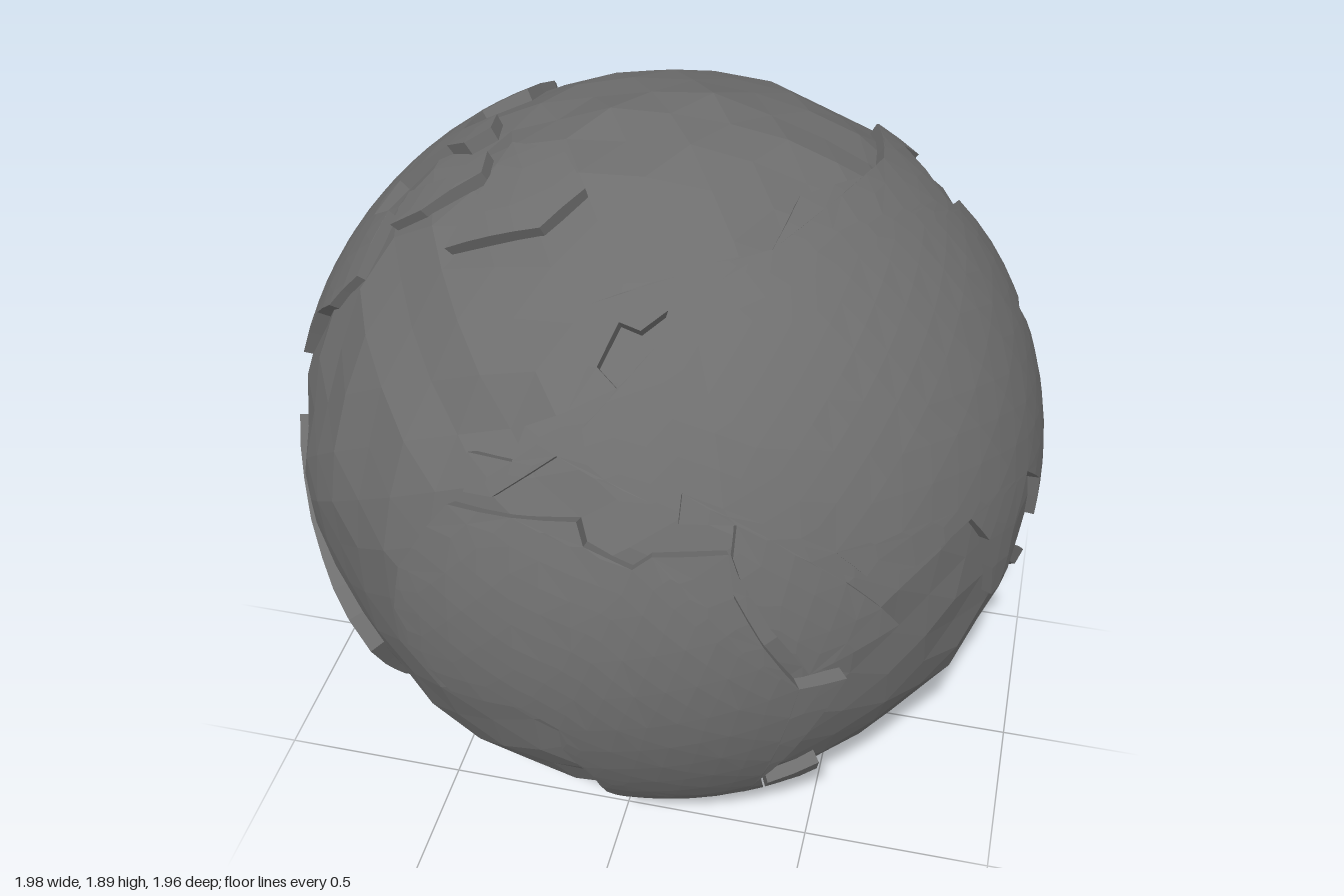
import * as THREE from 'three';

const CY = 0.963, LAND = 0.99, FLOOR = 0.93, POLAR = 0.978, MAX_EDGE = 0.12;
const { sin, cos, PI } = Math;
const mat = new THREE.MeshStandardMaterial({ color: 0x6e6e6e, flatShading: true });

// Unit directions of points marked on the globe as a flat disc facing (azimuth, elevation)
function disc(az, el, pts, v0 = 0, flip = 1) {
  az *= PI / 180; el *= PI / 180;
  const toward = new THREE.Vector3(sin(az) * cos(el), sin(el), cos(az) * cos(el));
  const right = new THREE.Vector3(cos(az), 0, -sin(az));
  const up = toward.clone().cross(right);
  return pts.map(([a, b]) => {
    let u = a / 0.98, v = flip * (b - v0) / 0.98;
    const len = Math.hypot(u, v);
    if (len > 0.999) { u *= 0.999 / len; v *= 0.999 / len; }
    const w = Math.sqrt(1 - u * u - v * v);
    return new THREE.Vector3().addScaledVector(right, u).addScaledVector(up, v).addScaledVector(toward, w);
  });
}
const front = (...p) => disc(0, 0, p, CY);                              // [x, y]
const side = (...p) => disc(90, 0, p.map(([z, y]) => [-z, y]), CY);     // [z, y]
const top = (...p) => disc(0, 90, p, 0, -1);                            // [x, z]
const backLeft = (...p) => disc(216, 25, p);
const backBelow = (...p) => disc(140, -30, p);

// Raised plate: fill the outline in a flat map, split long edges, wrap it on the sphere, add cliffs
function plate(name, outline, hole = []) {
  const c = outline.reduce((s, p) => s.add(p), new THREE.Vector3()).normalize();
  const e1 = new THREE.Vector3(0, 1, 0).cross(c).normalize(), e2 = c.clone().cross(e1);
  const flat = p => {
    const a = Math.acos(THREE.MathUtils.clamp(p.dot(c), -1, 1));
    return new THREE.Vector2(p.dot(e1), p.dot(e2)).setLength(a);
  };
  const wrap = (q, r) => {
    const a = q.length(), s = a > 1e-6 ? sin(a) / a : 1;
    const p = new THREE.Vector3().addScaledVector(c, cos(a)).addScaledVector(e1, q.x * s)
      .addScaledVector(e2, q.y * s).multiplyScalar(r);
    p.y *= POLAR;
    return p;
  };
  const mid = (a, b) => a.clone().add(b).multiplyScalar(0.5);
  const span = (a, b) => wrap(a, 1).distanceTo(wrap(b, 1));
  const rim = outline.map(flat), inner = hole.map(flat);
  if (THREE.ShapeUtils.isClockWise(rim)) rim.reverse();
  if (inner.length && !THREE.ShapeUtils.isClockWise(inner)) inner.reverse();
  const out = [];
  const tri = (...v) => v.forEach(p => out.push(p.x, p.y, p.z));

  const split = (a, b, d) => {
    const l = [span(a, b), span(b, d), span(d, a)], m = Math.max(...l);
    if (m < MAX_EDGE) return tri(wrap(a, LAND), wrap(b, LAND), wrap(d, LAND));
    if (m === l[1]) [a, b, d] = [b, d, a];
    else if (m === l[2]) [a, b, d] = [d, a, b];
    const h = mid(a, b);
    split(a, h, d);
    split(h, b, d);
  };
  const all = [...rim, ...inner];
  for (const f of THREE.ShapeUtils.triangulateShape(rim, inner.length ? [inner] : [])) {
    let [a, b, d] = f.map(i => all[i]);
    if (b.clone().sub(a).cross(d.clone().sub(a)) < 0) [b, d] = [d, b];
    split(a, b, d);
  }

  const cliff = (a, b) => {
    if (span(a, b) >= MAX_EDGE) {
      const h = mid(a, b);
      cliff(a, h);
      return cliff(h, b);
    }
    const A = wrap(a, LAND), B = wrap(b, LAND), a0 = wrap(a, FLOOR), b0 = wrap(b, FLOOR);
    tri(a0, b0, B);
    tri(a0, B, A);
  };
  for (const loop of [rim, inner]) loop.forEach((p, i) => cliff(p, loop[(i + 1) % loop.length]));

  const g = new THREE.BufferGeometry();
  g.setAttribute('position', new THREE.Float32BufferAttribute(out, 3));
  g.computeVertexNormals();
  const mesh = new THREE.Mesh(g, mat);
  mesh.name = name;
  return mesh;
}

// Faceted sea: a ball whose corners are pushed in or out a little
function makeOcean() {
  const g = new THREE.IcosahedronGeometry(1, 7), pos = g.attributes.position;
  const p = new THREE.Vector3();
  for (let i = 0; i < pos.count; i++) {
    p.fromBufferAttribute(pos, i);
    const k = [p.x, p.y, p.z].map(t => Math.round(t * 1000));
    const n = sin(k[0] * 12.9898 + k[1] * 78.233 + k[2] * 37.719) * 43758.5453;
    p.multiplyScalar(0.952 + 0.024 * (n - Math.floor(n)));
    pos.setXYZ(i, p.x, p.y * POLAR, p.z - 0.008);
  }
  g.computeVertexNormals();
  const mesh = new THREE.Mesh(g, mat);
  mesh.name = 'ocean';
  return mesh;
}

export function createModel() {
  const globe = new THREE.Group();
  globe.name = 'globe';
  globe.position.y = CY;
  globe.add(makeOcean());

  globe.add(plate('africa', front(
    [-0.31, 1.34], [-0.15, 1.36], [0, 1.38], [0.02, 1.33], [0.13, 1.29], [0.17, 1.32], [0.33, 1.32],
    [0.35, 1.22], [0.42, 1.08], [0.5, 0.93], [0.6, 0.92], [0.52, 0.74], [0.41, 0.52], [0.4, 0.36],
    [0.3, 0.23], [0.13, 0.18], [0.08, 0.24], [0.03, 0.42], [0.02, 0.56], [-0.04, 0.7], [-0.04, 0.79],
    [-0.13, 0.84], [-0.32, 0.8], [-0.43, 0.9], [-0.46, 1], [-0.44, 1.13], [-0.36, 1.27])));

  // Europe and Asia, with the northern inland sea cut out
  globe.add(plate('eurasia', [
    // Mediterranean and Atlantic shores, from east to north
    ...front([0.34, 1.31], [0.34, 1.38], [0.22, 1.39], [0.22, 1.45], [0.16, 1.43], [0.15, 1.39],
      [0.09, 1.43], [0.03, 1.47], [-0.06, 1.5], [-0.2, 1.39], [-0.27, 1.38], [-0.27, 1.46],
      [-0.16, 1.47], [-0.14, 1.54], [-0.05, 1.58], [-0.02, 1.66], [-0.04, 1.75], [0.08, 1.81]),
    // Arctic shore
    ...top([0.2, 0.45], [0.32, 0.37], [0.35, 0.2], [0.47, 0.02], [0.5, -0.12], [0.45, -0.38]),
    // Pacific and Indian Ocean shores
    ...side([-0.41, 1.73], [-0.4, 1.66], [-0.33, 1.72], [-0.18, 1.67], [-0.2, 1.63], [-0.28, 1.61],
      [-0.31, 1.48], [-0.31, 1.35], [-0.22, 1.38], [-0.14, 1.4], [-0.22, 1.27], [-0.22, 1.18],
      [-0.08, 1.1], [-0.12, 0.97], [-0.06, 0.92], [0, 0.96], [0.05, 0.89], [0.07, 1.03], [0.2, 1.15],
      [0.3, 1.06], [0.35, 0.9], [0.39, 0.9], [0.42, 1.1], [0.47, 1.2]),
    // Gulf, peninsula and Red Sea
    ...front([0.72, 1.17], [0.62, 1.2], [0.55, 1.28], [0.58, 1.2], [0.66, 1.1], [0.7, 1.03],
      [0.52, 0.97], [0.43, 1.13], [0.36, 1.26])],
    front([0, 1.66], [0.03, 1.73], [0.08, 1.72], [0.13, 1.75], [0.12, 1.7], [0.06, 1.67], [0.05, 1.63])));

  // North America: Arctic and Atlantic shores, then the gulf, isthmus and Pacific shore
  globe.add(plate('northAmerica', [
    ...top([-0.42, -0.47], [-0.41, -0.42], [-0.43, -0.25], [-0.53, -0.18], [-0.54, -0.06], [-0.45, -0.06],
      [-0.44, 0.02], [-0.5, 0.05], [-0.56, 0.01], [-0.68, 0.04], [-0.72, 0.13], [-0.66, 0.18],
      [-0.68, 0.27], [-0.69, 0.34]),
    ...front([-0.78, 1.46], [-0.85, 1.38], [-0.92, 1.22]),
    ...backLeft([0.81, -0.03], [0.71, 0.02], [0.63, -0.11], [0.66, -0.21], [0.76, -0.2], [0.84, -0.25],
      [0.78, -0.3], [0.56, -0.275], [0.45, -0.12], [0.31, 0.11], [0.31, 0.35], [0.2, 0.405], [0.09, 0.385])]));

  globe.add(plate('southAmerica', [
    ...backLeft([0.86, -0.23]),
    ...front([-0.95, 1.02], [-0.92, 0.87], [-0.83, 0.73], [-0.7, 0.68], [-0.64, 0.6], [-0.61, 0.4],
      [-0.56, 0.25], [-0.48, 0.13], [-0.34, 0.05]),
    ...backLeft([0.55, -0.8], [0.72, -0.64], [0.81, -0.45], [0.86, -0.3])]));

  globe.add(plate('australia', backBelow(
    [-0.49, -0.26], [-0.44, -0.16], [-0.37, -0.05], [-0.3, -0.02], [-0.26, -0.08], [-0.17, -0.06],
    [-0.14, 0.05], [-0.04, -0.22], [-0.13, -0.45], [-0.22, -0.38], [-0.38, -0.44])));

  // Islands
  globe.add(plate('greenland', top([-0.35, 0.13], [-0.2, 0.2], [-0.12, 0.32], [-0.2, 0.42],
    [-0.43, 0.42], [-0.38, 0.28])));
  globe.add(plate('arcticIsland', top([-0.61, 0.16], [-0.5, 0.19], [-0.41, 0.14], [-0.4, 0.22],
    [-0.54, 0.27], [-0.63, 0.25])));
  globe.add(plate('madagascar', front([0.4, 0.33], [0.42, 0.45], [0.54, 0.52], [0.53, 0.44], [0.44, 0.33])));
  globe.add(plate('borneo', side([-0.12, 0.73], [-0.16, 0.81], [-0.2, 0.85], [-0.26, 0.77],
    [-0.25, 0.7], [-0.14, 0.68])));
  globe.add(plate('sumatra', side([0.09, 0.8], [0, 0.73], [-0.05, 0.65], [0, 0.66], [0.06, 0.72])));
  globe.add(plate('newGuinea', backBelow([-0.35, 0.23], [-0.24, 0.21], [-0.1, 0.16], [-0.02, 0.07],
    [-0.16, 0.12], [-0.27, 0.16])));

  const model = new THREE.Group();
  model.add(globe);
  return model;
}
